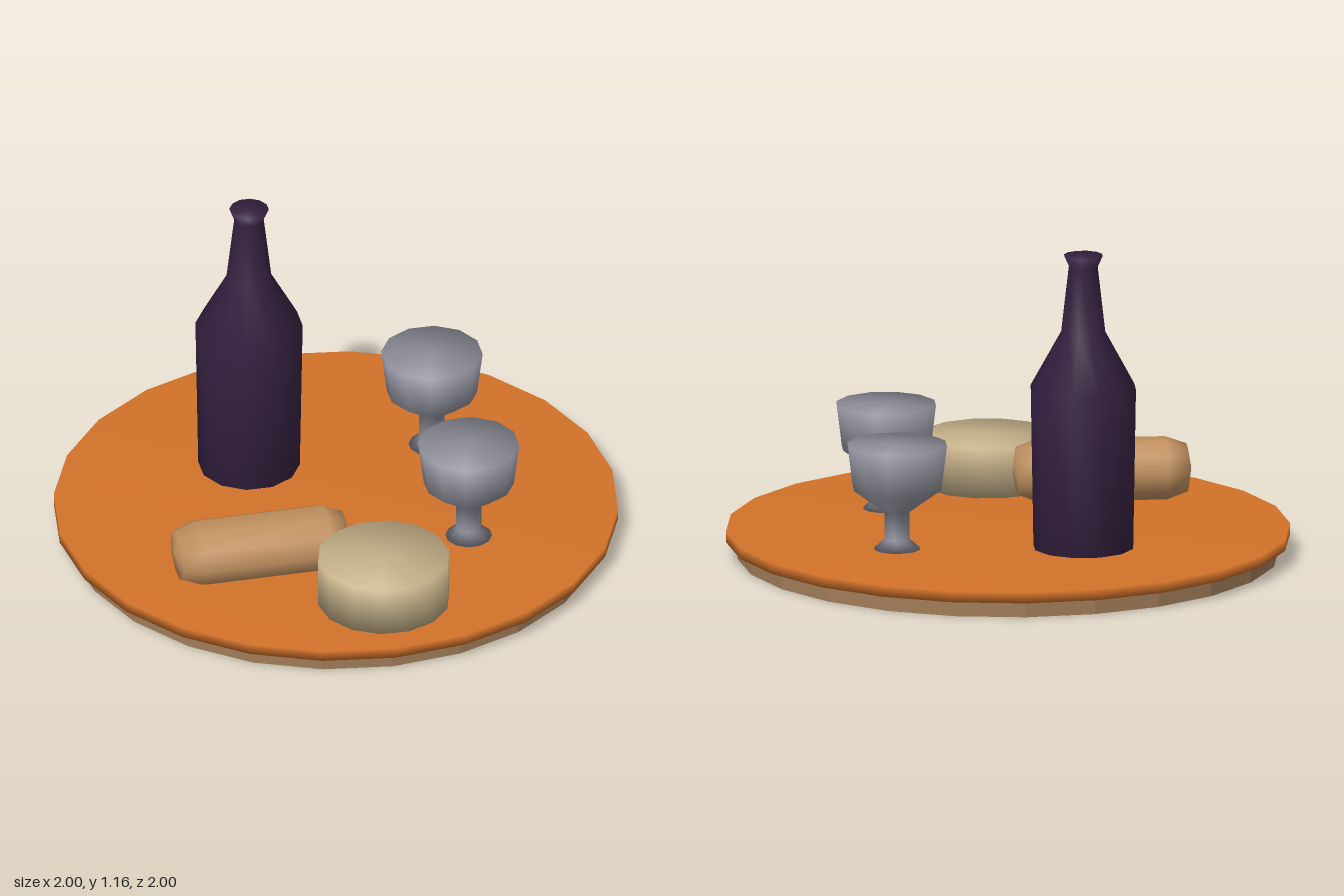
import * as THREE from 'three';

// Solid turned on the y axis; the profile runs from the bottom centre up to the top centre.
function turned(name, profile, sides, color) {
  const points = profile.map(([r, y]) => new THREE.Vector2(r, y));
  const mesh = new THREE.Mesh(
    new THREE.LatheGeometry(points, sides),
    new THREE.MeshStandardMaterial({ color })
  );
  mesh.name = name;
  return mesh;
}

export function createModel() {
  const model = new THREE.Group();
  model.name = 'servingBoard';
  const top = 0.1; // height of the board's upper face

  // Faceted base under the board
  const base = new THREE.Mesh(
    new THREE.CylinderGeometry(0.96, 0.96, 0.06, 24),
    new THREE.MeshStandardMaterial({ color: 0xa07c58, flatShading: true })
  );
  base.name = 'boardBase';
  base.position.y = 0.03;
  model.add(base);

  // Round board
  model.add(turned('boardTop', [[0, 0.06], [1, 0.06], [1, top], [0, top]], 24, 0xd2722a));

  // Bottle with shoulder, neck and flared lip
  const bottle = turned('bottle', [
    [0, 0], [0.18, 0], [0.19, 0.58], [0.08, 0.78], [0.052, 1.02], [0.07, 1.06], [0, 1.06],
  ], 12, 0x34203f);
  bottle.position.set(-0.32, top, -0.24);
  model.add(bottle);

  // Two goblets
  for (const [name, x, z] of [['backGoblet', 0.32, -0.4], ['frontGoblet', 0.48, 0.2]]) {
    const goblet = turned(name, [
      [0, 0], [0.083, 0], [0.045, 0.035], [0.045, 0.135], [0.16, 0.22], [0.18, 0.38], [0, 0.38],
    ], 12, 0x8c8c98);
    goblet.position.set(x, top, z);
    model.add(goblet);
  }

  // Wheel of cheese
  const cheese = turned('cheese', [[0, 0], [0.235, 0], [0.235, 0.18], [0, 0.18]], 14, 0xc4b088);
  cheese.position.set(0.2, top, 0.64);
  model.add(cheese);

  // Loaf lying on its side, slightly flattened and turned across the board
  const loaf = turned('loaf', [
    [0, -0.315], [0.105, -0.3], [0.138, -0.225], [0.138, 0.235], [0.105, 0.305], [0, 0.32],
  ], 10, 0xc0905f);
  loaf.geometry.scale(0.8, 1, 1).rotateZ(-Math.PI / 2);
  loaf.rotation.y = 0.28;
  loaf.position.set(-0.245, top + 0.11, 0.48);
  model.add(loaf);

  return model;
}
